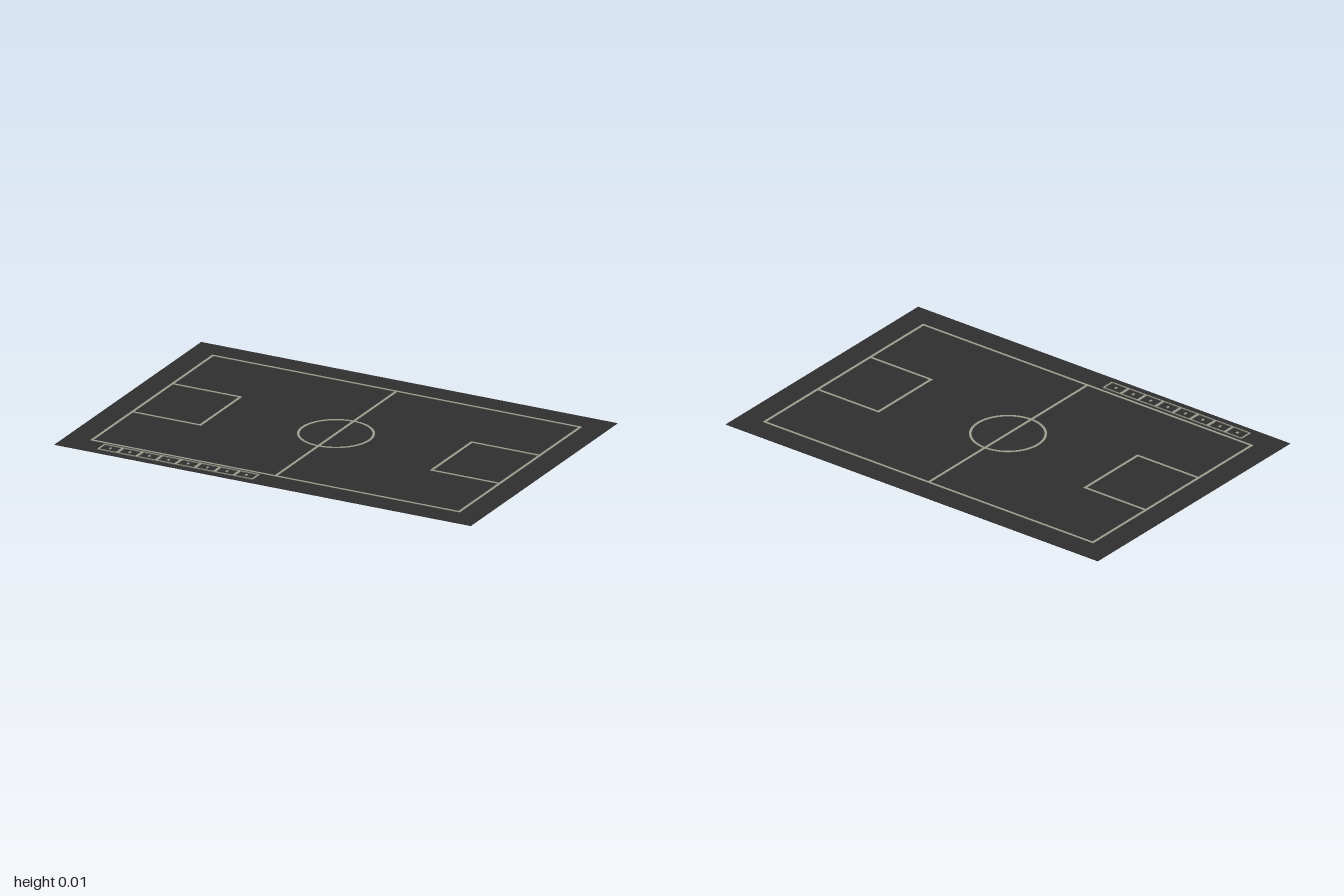
import * as THREE from 'three';

const GROUND_TOP = 0.002;

export function createModel() {
  const model = new THREE.Group();
  model.name = 'sportsPitch';
  const groundMat = new THREE.MeshStandardMaterial({ color: 0x2f2f2f });
  groundMat.name = 'dark ground';
  const lineMat = new THREE.MeshStandardMaterial({ color: 0x9c9c8f });
  lineMat.name = 'pale line';

  const rect = (C, x0, z0, x1, z1) => new C([
    new THREE.Vector2(x0, -z1), new THREE.Vector2(x1, -z1),
    new THREE.Vector2(x1, -z0), new THREE.Vector2(x0, -z0),
  ]);

  // Lays a flat outline on the ground as a thin plate
  function plate(name, shape, height, parent = model) {
    const geo = new THREE.ExtrudeGeometry(shape, { depth: height, bevelEnabled: false, curveSegments: 32 });
    geo.rotateX(-Math.PI / 2);
    const mesh = new THREE.Mesh(geo, lineMat);
    mesh.name = name;
    mesh.position.y = GROUND_TOP;
    parent.add(mesh);
  }

  // Rectangular outline of line width w, given by its outer edges
  function frame(name, x0, z0, x1, z1, w, height, parent) {
    const shape = rect(THREE.Shape, x0, z0, x1, z1);
    shape.holes.push(rect(THREE.Path, x0 + w, z0 + w, x1 - w, z1 - w));
    plate(name, shape, height, parent);
  }

  // Ground slab
  const ground = new THREE.Mesh(new THREE.BoxGeometry(2, GROUND_TOP, 1.334), groundMat);
  ground.name = 'ground';
  ground.position.y = GROUND_TOP / 2;
  model.add(ground);

  // Field markings
  const w = 0.011, h = 0.002;
  frame('boundaryLine', -0.888, -0.556, 0.888, 0.556, w, h);
  plate('halfwayLine', rect(THREE.Shape, -w / 2, -0.55, w / 2, 0.55), h);
  frame('rightGoalArea', -0.888, -0.188, -0.55, 0.188, w, h);
  frame('leftGoalArea', 0.55, -0.188, 0.888, 0.188, w, h);
  const ring = new THREE.Shape().absarc(0, 0, 0.166, 0, Math.PI * 2);
  ring.holes.push(new THREE.Path().absarc(0, 0, 0.155, 0, Math.PI * 2, true));
  plate('centreCircle', ring, h);

  // Row of small bench boxes, each with a centre mark
  const bench = new THREE.Group();
  bench.name = 'benchBoxes';
  model.add(bench);
  for (let i = 0; i < 8; i++) {
    const x = -0.766 + i * 0.0933;
    frame('benchBox', x - 0.0465, 0.57, x + 0.0465, 0.634, 0.005, 0.004, bench);
    plate('benchMark', rect(THREE.Shape, x - 0.004, 0.595, x + 0.004, 0.609), 0.004, bench);
  }
  return model;
}
